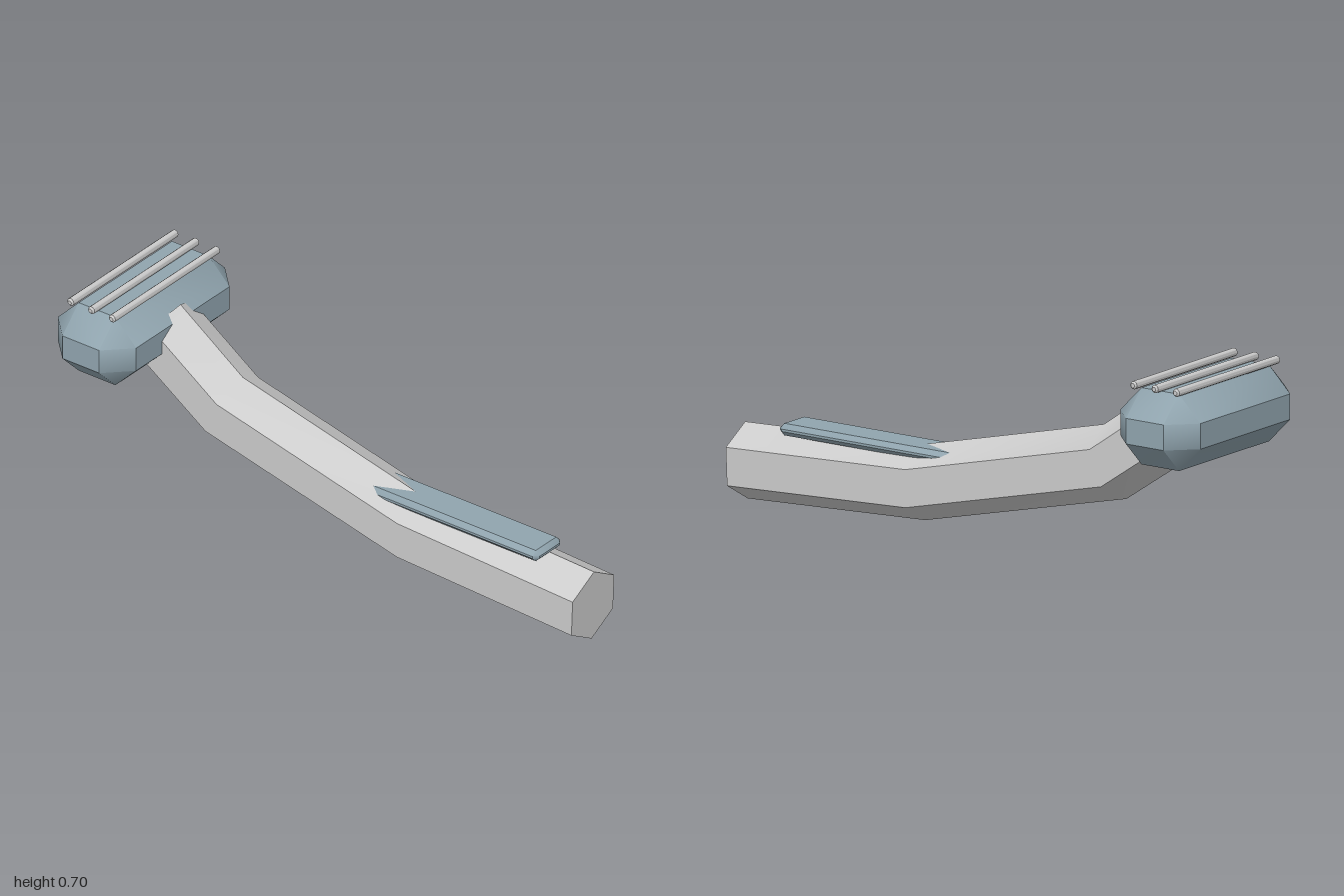
import * as THREE from 'three';
import { toCreasedNormals } from 'three/addons/utils/BufferGeometryUtils.js';
import { ConvexGeometry } from 'three/addons/geometries/ConvexGeometry.js';

const grey = new THREE.MeshStandardMaterial({ color: 0xcccccc });
const slate = new THREE.MeshStandardMaterial({ color: 0x90a4ae });

function addPart(parent, name, geometry, material) {
  const mesh = new THREE.Mesh(geometry, material);
  mesh.name = name;
  parent.add(mesh);
  return mesh;
}

// Box with flat chamfers on every edge and softly shaded bevels
function chamferBox(w, h, d, c) {
  const points = [];
  for (const sx of [-1, 1]) for (const sy of [-1, 1]) for (const sz of [-1, 1]) {
    const x = w / 2, y = h / 2, z = d / 2;
    points.push(
      new THREE.Vector3(sx * x, sy * (y - c), sz * (z - c)),
      new THREE.Vector3(sx * (x - c), sy * y, sz * (z - c)),
      new THREE.Vector3(sx * (x - c), sy * (y - c), sz * z)
    );
  }
  return toCreasedNormals(new ConvexGeometry(points), 0.7);
}

// Hexagonal bar lofted through rings given by their top and bottom corners
function hexBar(rings, halfWidth) {
  const profile = [[0, 0], [-1, 0.25], [-1, 0.75], [0, 1], [1, 0.75], [1, 0.25]];
  const positions = [], index = [];
  for (const [topZ, topY, botZ, botY] of rings) {
    for (const [x, t] of profile) {
      positions.push(x * halfWidth, topY + (botY - topY) * t, topZ + (botZ - topZ) * t);
    }
  }
  const last = (rings.length - 1) * 6;
  for (let r = 0; r < last; r += 6) {
    for (let i = 0; i < 6; i++) {
      const a = r + i, b = r + (i + 1) % 6;
      index.push(a, b + 6, b, a, a + 6, b + 6);
    }
  }
  for (let i = 1; i < 5; i++) {
    index.push(0, i, i + 1, last, last + i + 1, last + i);
  }
  const geometry = new THREE.BufferGeometry();
  geometry.setAttribute('position', new THREE.Float32BufferAttribute(positions, 3));
  geometry.setIndex(index);
  return toCreasedNormals(geometry.toNonIndexed(), 0.6);
}

export function createModel() {
  const razor = new THREE.Group();
  razor.name = 'razor';

  // Bent handle: top z, top y, bottom z, bottom y
  addPart(razor, 'handle', hexBar([
    [1, 0.256, 0.99, 0.002],
    [0.28, 0.288, 0.28, 0.035],
    [-0.435, 0.46, -0.525, 0.225],
    [-0.69, 0.64, -0.837, 0.436]
  ], 0.109), grey);

  // Thumb pad sunk into the handle
  addPart(razor, 'gripPad', chamferBox(0.14, 0.04, 0.72, 0.016), slate)
    .position.set(0, 0.27, 0.46);

  // Cutting head
  addPart(razor, 'head', chamferBox(0.66, 0.255, 0.32, 0.085), slate)
    .position.set(0, 0.5525, -0.84);

  // Three blade rods with chamfered ends
  const r = 0.0135, half = 0.28, c = 0.006;
  const rodProfile = [[0, -half], [r - c, -half], [r, -half + c], [r, half - c], [r - c, half], [0, half]]
    .map(([x, y]) => new THREE.Vector2(x, y));
  const rodGeometry = toCreasedNormals(new THREE.LatheGeometry(rodProfile, 10), 0.7);
  for (const z of [-0.755, -0.84, -0.925]) {
    const rod = addPart(razor, 'bladeRod', rodGeometry, grey);
    rod.rotation.z = Math.PI / 2;
    rod.position.set(0, 0.692, z);
  }
  return razor;
}
